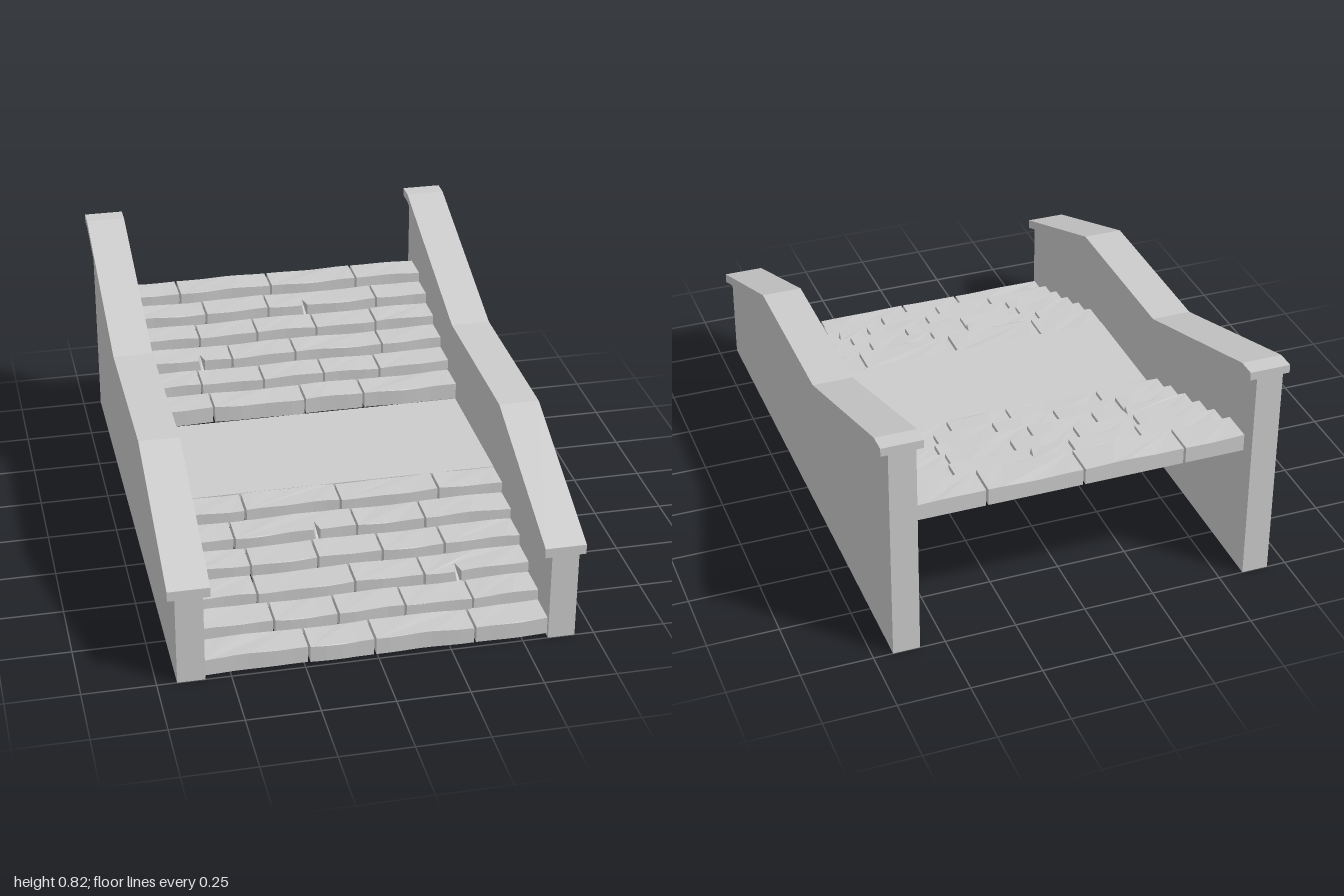
import * as THREE from 'three';

const material = new THREE.MeshStandardMaterial({ color: 0xcccccc, flatShading: true });

function addMesh(parent, geometry, name) {
  const mesh = new THREE.Mesh(geometry, material);
  mesh.name = name;
  parent.add(mesh);
  return mesh;
}

// Side profile given as [z, y] points, extruded along x from x0 to x1
function sideProfile(points, x0, x1) {
  const shape = new THREE.Shape(points.map(([z, y]) => new THREE.Vector2(-z, y)));
  return new THREE.ExtrudeGeometry(shape, { depth: x1 - x0, bevelEnabled: false })
    .rotateY(Math.PI / 2)
    .translate(x0, 0, 0);
}

// Gentle unevenness of the hewn edges
const wave = (x, seed) => 0.6 * Math.sin(x * 11 + seed * 2.3) + 0.4 * Math.sin(x * 27 + seed * 5.1);

const THICK = 0.06, DEPTH = 0.118, HALF = 0.59;

// One step stone: plan outline with a wavy front and an optional V-shaped chip
function stoneGeometry(x0, x1, front, top, seed, chip) {
  const outline = [];
  const n = Math.max(3, Math.round((x1 - x0) / 0.05));
  const edge = (x) => front + 0.004 * wave(x, seed);
  const chipped = chip !== undefined && chip > x0 + 0.012 && chip < x1 - 0.012;
  for (let i = 0; i <= n; i++) {
    const x = x0 + ((x1 - x0) * i) / n;
    if (!chipped || Math.abs(x - chip) > 0.014) outline.push([x, edge(x)]);
  }
  if (chipped) {
    outline.push([chip - 0.012, edge(chip)], [chip, front - 0.055], [chip + 0.012, edge(chip)]);
    outline.sort((a, b) => a[0] - b[0]);
  }
  for (let i = n; i >= 0; i--) outline.push([x0 + ((x1 - x0) * i) / n, front - DEPTH]);

  const shape = new THREE.Shape(outline.map(([x, z]) => new THREE.Vector2(x, -z)));
  const geometry = new THREE.ExtrudeGeometry(shape, { depth: THICK, bevelEnabled: false })
    .rotateX(-Math.PI / 2)
    .translate(0, top - THICK, 0);

  // Worn top surface; the chip runs out towards the bottom edge
  const p = geometry.attributes.position;
  for (let i = 0; i < p.count; i++) {
    const x = p.getX(i), z = p.getZ(i);
    if (p.getY(i) > top - THICK / 2) p.setY(i, top + 0.003 * wave(x, seed + 1.7));
    else if (chipped && Math.abs(x - chip) < 0.002 && z > front - 0.07) p.setZ(i, edge(chip));
  }
  geometry.computeVertexNormals();
  return geometry;
}

// Joint positions for each step, lowest first, and chips by step index
const lowerJoints = [
  [-0.235, -0.01, 0.335],
  [-0.33, -0.11, 0.122, 0.357],
  [-0.365, -0.026, 0.217],
  [-0.365, -0.13, 0.098, 0.318],
  [-0.4, 0.033, 0.277],
  [-0.34, 0, 0.355],
];
const upperJoints = [
  [-0.34, 0.005, 0.23],
  [-0.365, -0.13, 0.102, 0.318],
  [-0.228, 0.016, 0.355],
  [-0.333, -0.11, 0.122, 0.357],
  [-0.287, -0.042, 0.386],
  [-0.37, -0.01, 0.33],
];

function buildFlight(name, joints, front, top, chips, seed) {
  const flight = new THREE.Group();
  flight.name = name;
  joints.forEach((row, r) => {
    const step = new THREE.Group();
    step.name = 'step';
    const cuts = [-HALF, ...row, HALF];
    for (let i = 0; i < cuts.length - 1; i++) {
      const x0 = cuts[i] + (i > 0 ? 0.004 : 0);
      const x1 = cuts[i + 1] - (i < cuts.length - 2 ? 0.004 : 0);
      const g = stoneGeometry(x0, x1, front - r * 0.117, top + r * 0.04, seed + r * 3 + i * 0.15, chips[r]);
      addMesh(step, g, 'stepStone');
    }
    flight.add(step);
  });
  return flight;
}

export function createModel() {
  const model = new THREE.Group();
  model.name = 'stoneStaircase';

  // Side walls with overhanging coping
  const bottomLine = [[1, 0.32], [0.405, 0.56], [-0.235, 0.56], [-0.935, 0.795], [-1, 0.795]];
  const topLine = [[1, 0.355], [0.41, 0.59], [-0.23, 0.59], [-0.935, 0.825], [-1, 0.825]];
  for (const side of [1, -1]) {
    const parapet = new THREE.Group();
    parapet.name = side > 0 ? 'leftParapet' : 'rightParapet';
    const span = (a, b) => (side > 0 ? [a, b] : [-b, -a]);
    addMesh(parapet, sideProfile([[1, 0], ...bottomLine, [-1, 0]], ...span(0.588, 0.682)), 'wall');
    addMesh(parapet, sideProfile([...topLine, ...[...bottomLine].reverse()], ...span(0.563, 0.706)), 'coping');
    model.add(parapet);
  }

  // Landing slab between the two flights
  const landing = addMesh(model, new THREE.BoxGeometry(HALF * 2, THICK, 0.53), 'landing');
  landing.position.set(0, 0.272 - THICK / 2, 0.025);

  // Flights of jointed stones
  model.add(buildFlight('lowerFlight', lowerJoints, 0.988, 0.07, { 2: 0.335, 4: -0.11 }, 1));
  model.add(buildFlight('upperFlight', upperJoints, -0.238, 0.335, { 2: -0.345, 4: 0.1 }, 20));

  return model;
}
